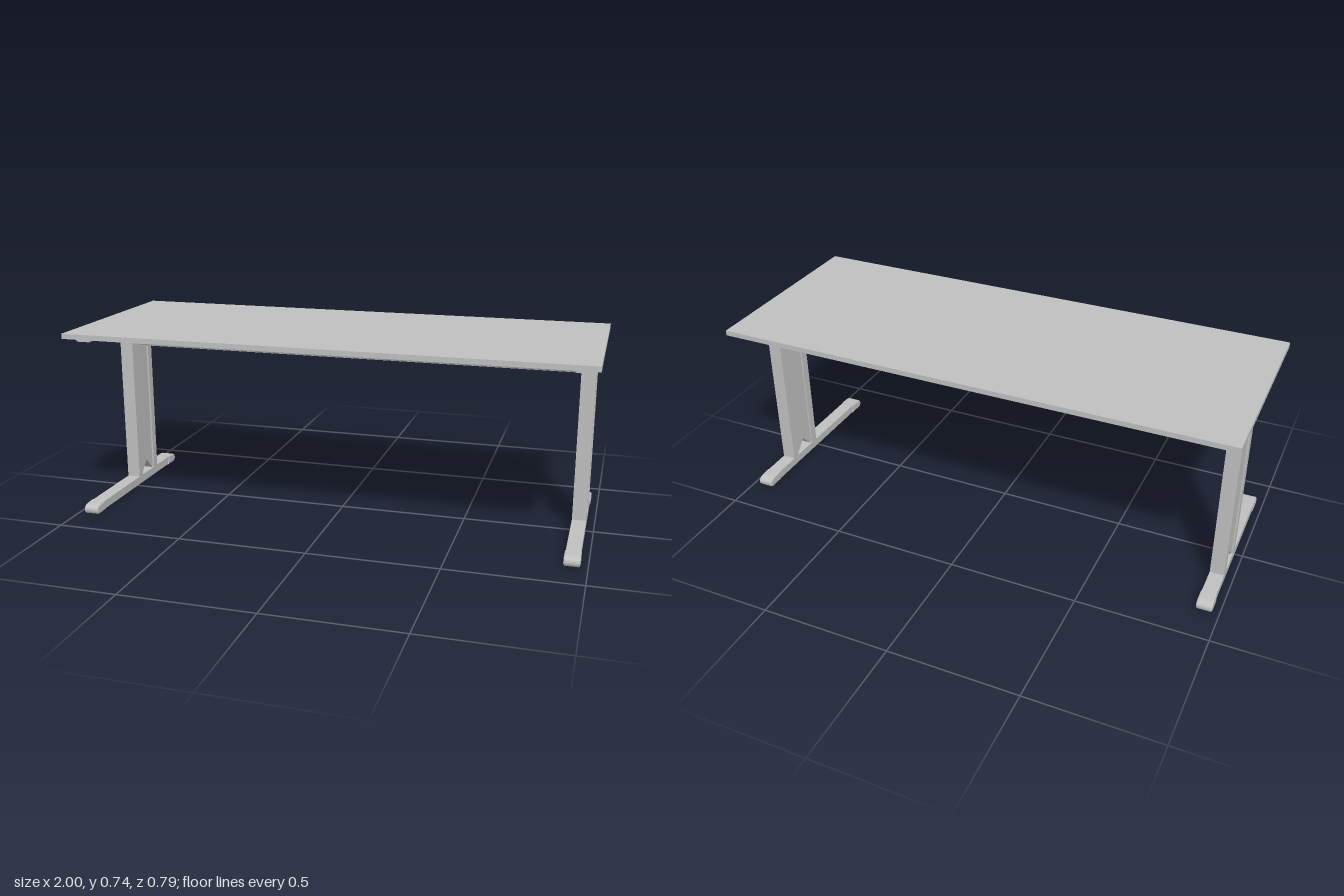
import * as THREE from 'three';

export function createModel() {
  const desk = new THREE.Group();
  desk.name = 'desk';
  const grey = new THREE.MeshStandardMaterial({ color: 0xc0c0c0 });
  grey.name = 'plain grey';

  const add = (parent, name, geometry) => {
    const mesh = new THREE.Mesh(geometry, grey);
    mesh.name = name;
    parent.add(mesh);
    return mesh;
  };

  // Box given by its limits on each axis
  const box = (parent, name, [x0, x1], [y0, y1], [z0, z1]) => {
    const mesh = add(parent, name, new THREE.BoxGeometry(x1 - x0, y1 - y0, z1 - z0));
    mesh.position.set((x0 + x1) / 2, (y0 + y1) / 2, (z0 + z1) / 2);
    return mesh;
  };

  const outline = (points) => new THREE.Shape(points.map(([a, b]) => new THREE.Vector2(a, b)));

  // Extrude a (z, y) outline sideways, centred on x = 0
  const extrudeX = (shape, width, bevel = 0) => {
    const geometry = new THREE.ExtrudeGeometry(shape, {
      depth: width - 2 * bevel, curveSegments: 6, bevelEnabled: bevel > 0,
      bevelSize: bevel, bevelThickness: bevel, bevelOffset: -bevel, bevelSegments: 2,
    });
    geometry.translate(0, 0, -(width - 2 * bevel) / 2);
    return geometry.rotateY(-Math.PI / 2);
  };

  // Tabletop
  box(desk, 'tabletop', [-1, 1], [0.718, 0.738], [-0.393, 0.393]);

  // Rounded foot cap, pointing to +z
  const cap = new THREE.Shape();
  cap.moveTo(0.292, 0.001);
  cap.lineTo(0.298, 0.04);
  cap.lineTo(0.335, 0.039);
  cap.quadraticCurveTo(0.366, 0.036, 0.366, 0.018);
  cap.quadraticCurveTo(0.366, 0.004, 0.352, 0);
  cap.closePath();

  // Column web with a V notch at both ends
  const web = outline([
    [-0.152, 0.037], [-0.146, 0.037], [-0.098, 0.088], [-0.05, 0.037], [-0.045, 0.037],
    [-0.045, 0.698], [-0.098, 0.645], [-0.152, 0.698],
  ]);

  for (const side of [1, -1]) {
    const leg = new THREE.Group();
    leg.name = side > 0 ? 'leftLeg' : 'rightLeg';
    leg.position.x = side * 0.943;
    desk.add(leg);
    const w = [-0.027, 0.027];
    box(leg, 'topRail', w, [0.698, 0.718], [-0.345, 0.337]);
    box(leg, 'frontPost', w, [0.037, 0.698], [-0.045, -0.012]);
    box(leg, 'backPost', w, [0.037, 0.698], [-0.184, -0.152]);
    add(leg, 'columnWeb', extrudeX(web, 0.04));
    box(leg, 'footBar', w, [0.004, 0.037], [-0.3, 0.3]);
    add(leg, 'frontFootCap', extrudeX(cap, 0.06, 0.006));
    add(leg, 'backFootCap', extrudeX(cap, 0.06, 0.006)).rotation.y = Math.PI;
  }

  // Cable tray: sloping walls over a narrow floor
  const tray = new THREE.Group();
  tray.name = 'cableTray';
  desk.add(tray);
  const bottom = 0.605, lean = 0.488, end = 0.916;
  const up = (y) => (y - bottom) / Math.cos(lean);
  const slope = ([x, y]) => [x, up(y)];

  const wall = (name, points, holes, z, angle) => {
    const shape = outline(points.map(slope));
    for (const hole of holes) shape.holes.push(outline(hole.map(slope)));
    const geometry = new THREE.ExtrudeGeometry(shape, { depth: 0.004, bevelEnabled: false });
    geometry.translate(0, 0, -0.002);
    const mesh = add(tray, name, geometry);
    mesh.position.set(0, bottom, z);
    mesh.rotation.x = angle;
  };

  box(tray, 'trayFloor', [-end, end], [0.603, 0.607], [-0.12, -0.08]);
  wall('trayBack', [[-end, bottom], [end, bottom], [end, 0.717], [-end, 0.717]], [], -0.12, -lean);
  // Front wall is cut low in the middle, with a cable opening near each end
  wall('trayFront', [
    [-end, bottom], [end, bottom], [end, 0.717], [0.84, 0.717],
    [0.79, 0.67], [-0.79, 0.67], [-0.84, 0.717], [-end, 0.717],
  ], [
    [[-0.905, 0.643], [-0.89, 0.697], [-0.843, 0.685], [-0.843, 0.634]],
    [[0.828, 0.652], [0.87, 0.706], [0.88, 0.634]],
  ], -0.08, lean);

  return desk;
}
